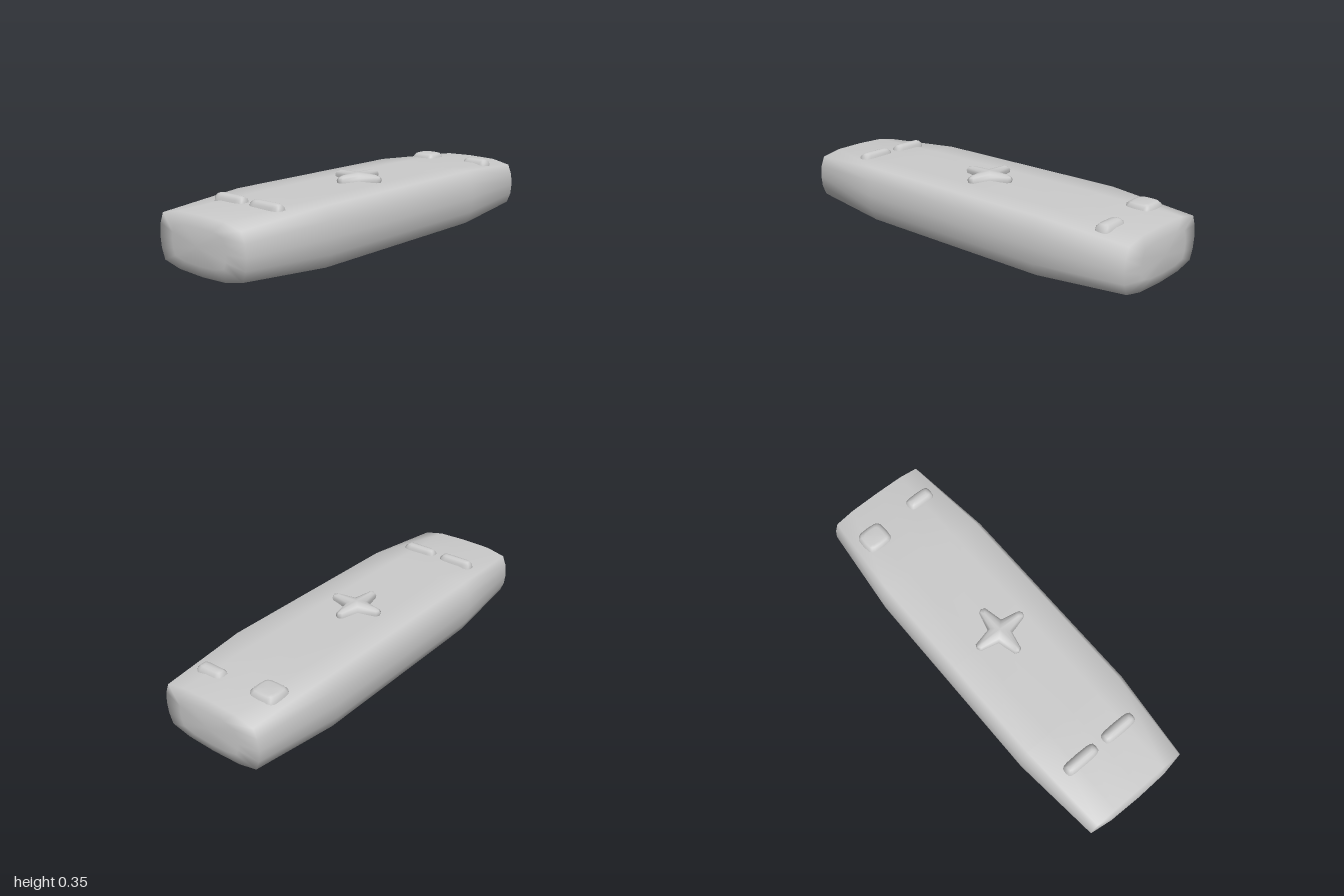
import * as THREE from 'three';
import { mergeVertices } from 'three/addons/utils/BufferGeometryUtils.js';

const grey = new THREE.MeshStandardMaterial({ color: 0xcccccc });

// Skin a list of equal-length closed rings of [x, y, z] with smooth normals.
function loft(name, rings) {
  const n = rings[0].length;
  const index = [];
  for (let i = 0; i < rings.length - 1; i++) {
    for (let j = 0; j < n; j++) {
      const a = i * n + j, b = i * n + (j + 1) % n;
      index.push(a, a + n, b, b, a + n, b + n);
    }
  }
  let geo = new THREE.BufferGeometry();
  geo.setAttribute('position', new THREE.Float32BufferAttribute(rings.flat(2), 3));
  geo.setIndex(index);
  geo = mergeVertices(geo);
  geo.computeVertexNormals();
  const mesh = new THREE.Mesh(geo, grey);
  mesh.name = name;
  return mesh;
}

// Half cross-sections of the body, from top centre down to bottom centre.
const middle = [[0, 0.32], [0.15, 0.32], [0.28, 0.32], [0.312, 0.26], [0.32, 0.185],
  [0.312, 0.11], [0.28, 0.047], [0.15, 0.012], [0, 0.003]];
const tip = [[0, 0.315], [0.15, 0.311], [0.25, 0.29], [0.27, 0.24], [0.276, 0.185],
  [0.27, 0.13], [0.25, 0.08], [0.15, 0.058], [0, 0.052]];

const mirror = half => [...half, ...half.slice(1, -1).reverse().map(([x, y]) => [-x, y])];

// Full ring of the body at z, shrunk about its middle height.
const section = (half, z, s = 1) =>
  mirror(half).map(([x, y]) => [x * s, 0.185 + (y - 0.185) * s, z]);

function body() {
  const front = [
    section(middle, 0.53),
    section(tip, 0.978),
    section(tip, 0.994, 0.62),
    section(tip, 1, 0),
  ];
  const back = front.map(r => r.map(([x, y, z]) => [x, y, -z])).reverse();
  return loft('body', [...back, section(middle, 0), ...front]);
}

// Domed button with a rounded-rectangle outline; layers are [y, inset].
function button(name, x, z, halfW, halfD, y0, top) {
  const layers = [[y0, 0], [top - 0.016, 0.004], [top - 0.004, 0.016], [top, 0.03]];
  const power = v => Math.sign(v) * Math.sqrt(Math.abs(v));
  const ring = (y, w, d) => Array.from({ length: 16 }, (_, k) => {
    const t = k / 16 * Math.PI * 2;
    return [x + power(Math.cos(t)) * w, y, z + power(Math.sin(t)) * d];
  });
  const rings = layers.map(([y, inset]) =>
    ring(y, halfW - inset, Math.max(halfD - inset, 0.006)));
  return loft(name, [...rings, ring(top, 0, 0)]);
}

// Four-armed pad; each layer is [y, arm reach, tip half width, inner corner].
function directionPad() {
  const layers = [[0.315, 0.138, 0.018, 0.042], [0.334, 0.143, 0.019, 0.04],
    [0.346, 0.136, 0.014, 0.032], [0.354, 0.115, 0.006, 0.016], [0.355, 0, 0, 0]];
  const rings = layers.map(([y, reach, w, inner]) => {
    const ring = [];
    for (let k = 0; k < 4; k++) {
      const c = Math.round(Math.cos(k * Math.PI / 2));
      const s = Math.round(Math.sin(k * Math.PI / 2));
      for (const [u, v] of [[reach * 0.94, -w], [reach, 0], [reach * 0.94, w], [inner, inner]])
        ring.push([u * c - v * s, y, u * s + v * c]);
    }
    return ring;
  });
  return loft('directionPad', rings);
}

export function createModel() {
  const group = new THREE.Group();
  group.name = 'remoteControl';
  group.add(
    body(),
    directionPad(),
    button('frontLeftButton', 0.112, 0.71, 0.095, 0.034, 0.3, 0.345),
    button('frontRightButton', -0.115, 0.71, 0.095, 0.034, 0.3, 0.345),
    button('backLeftButton', 0.148, -0.814, 0.074, 0.038, 0.3, 0.336),
    button('powerButton', -0.157, -0.782, 0.073, 0.068, 0.3, 0.34),
  );
  return group;
}
